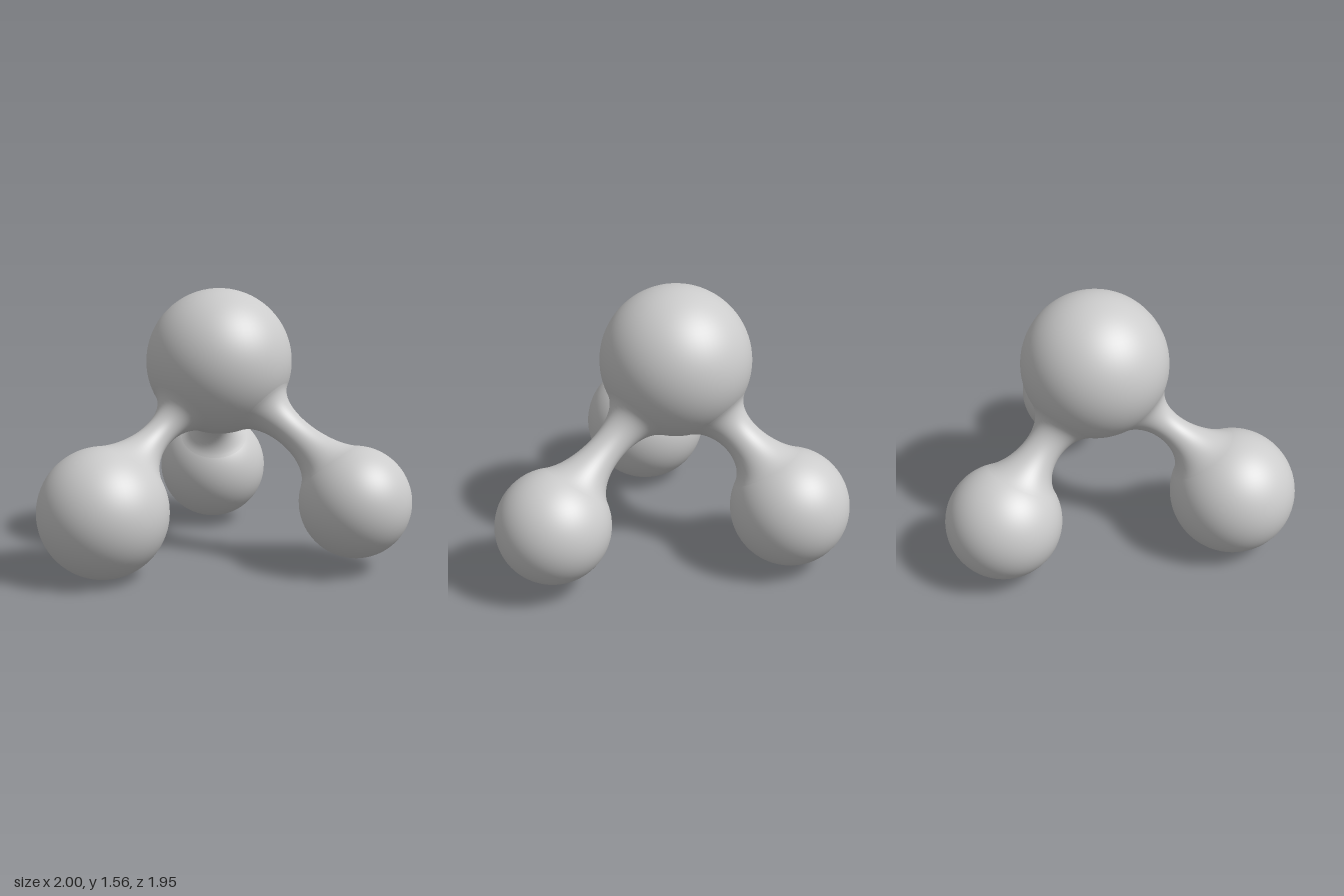
import * as THREE from 'three';

const material = new THREE.MeshStandardMaterial({ color: 0xcccccc });
const UP = new THREE.Vector3(0, 1, 0);

// Large top ball and the three lower balls joined to it
const hub = { center: new THREE.Vector3(0.17, 1.137, -0.015), radius: 0.421 };
const lobes = [
  { name: 'right', center: new THREE.Vector3(-0.634, 0.368, 0.152), radius: 0.367, hubAngle: 27, lobeAngle: 35, handle: 0.18 },
  { name: 'frontLeft', center: new THREE.Vector3(0.68, 0.395, 0.66), radius: 0.315, hubAngle: 27, lobeAngle: 38, handle: 0.155 },
  { name: 'backLeft', center: new THREE.Vector3(0.458, 0.365, -0.643), radius: 0.333, hubAngle: 28, lobeAngle: 38, handle: 0.15 },
];

function addBall(group, name, { center, radius }) {
  const ball = new THREE.Mesh(new THREE.SphereGeometry(radius, 64, 40), material);
  ball.name = name;
  ball.position.copy(center);
  group.add(ball);
}

// Circle on a ball around an axis; `facing` is 1 on the axis side, -1 on the far side.
// Returns each point and the surface tangent running towards the pole of that cap.
function capPoint(ball, axis, facing, angle, u) {
  const side = new THREE.Vector3().crossVectors(UP, axis).normalize();
  const top = new THREE.Vector3().crossVectors(axis, side);
  const radial = side.multiplyScalar(Math.cos(u)).addScaledVector(top, Math.sin(u));
  const c = Math.cos(angle), s = Math.sin(angle);
  const point = ball.center.clone()
    .addScaledVector(axis, facing * c * ball.radius)
    .addScaledVector(radial, s * ball.radius);
  const tangent = radial.clone().multiplyScalar(-c).addScaledVector(axis, facing * s);
  return { point, tangent };
}

// Smooth waisted bridge: Bezier strands leave both balls along their surfaces
function neckGeometry(lobe) {
  const around = 48, along = 28;
  const axis = lobe.center.clone().sub(hub.center).normalize();
  // The lower end sits a little above the straight line between the centres
  const side = new THREE.Vector3().crossVectors(UP, axis).normalize();
  const lobeAxis = axis.clone().applyAxisAngle(side, THREE.MathUtils.degToRad(9));
  const positions = [], index = [];
  for (let j = 0; j < around; j++) {
    const u = (j / around) * Math.PI * 2;
    const a = capPoint(hub, axis, 1, THREE.MathUtils.degToRad(lobe.hubAngle), u);
    const b = capPoint(lobe, lobeAxis, -1, THREE.MathUtils.degToRad(lobe.lobeAngle), u);
    const strand = new THREE.CubicBezierCurve3(
      a.point, a.point.clone().addScaledVector(a.tangent, lobe.handle),
      b.point.clone().addScaledVector(b.tangent, lobe.handle), b.point);
    for (let i = 0; i <= along; i++) positions.push(...strand.getPoint(i / along).toArray());
  }
  const row = along + 1;
  for (let j = 0; j < around; j++) {
    const next = (j + 1) % around;
    for (let i = 0; i < along; i++) {
      const p = j * row + i, q = next * row + i;
      index.push(p, q, p + 1, q, q + 1, p + 1);
    }
  }
  const geometry = new THREE.BufferGeometry();
  geometry.setAttribute('position', new THREE.Float32BufferAttribute(positions, 3));
  geometry.setIndex(index);
  geometry.computeVertexNormals();
  return geometry;
}

export function createModel() {
  const model = new THREE.Group();
  model.name = 'molecule';
  addBall(model, 'centralBall', hub);
  for (const lobe of lobes) {
    addBall(model, `${lobe.name}Ball`, lobe);
    const neck = new THREE.Mesh(neckGeometry(lobe), material);
    neck.name = `${lobe.name}Neck`;
    model.add(neck);
  }
  return model;
}
